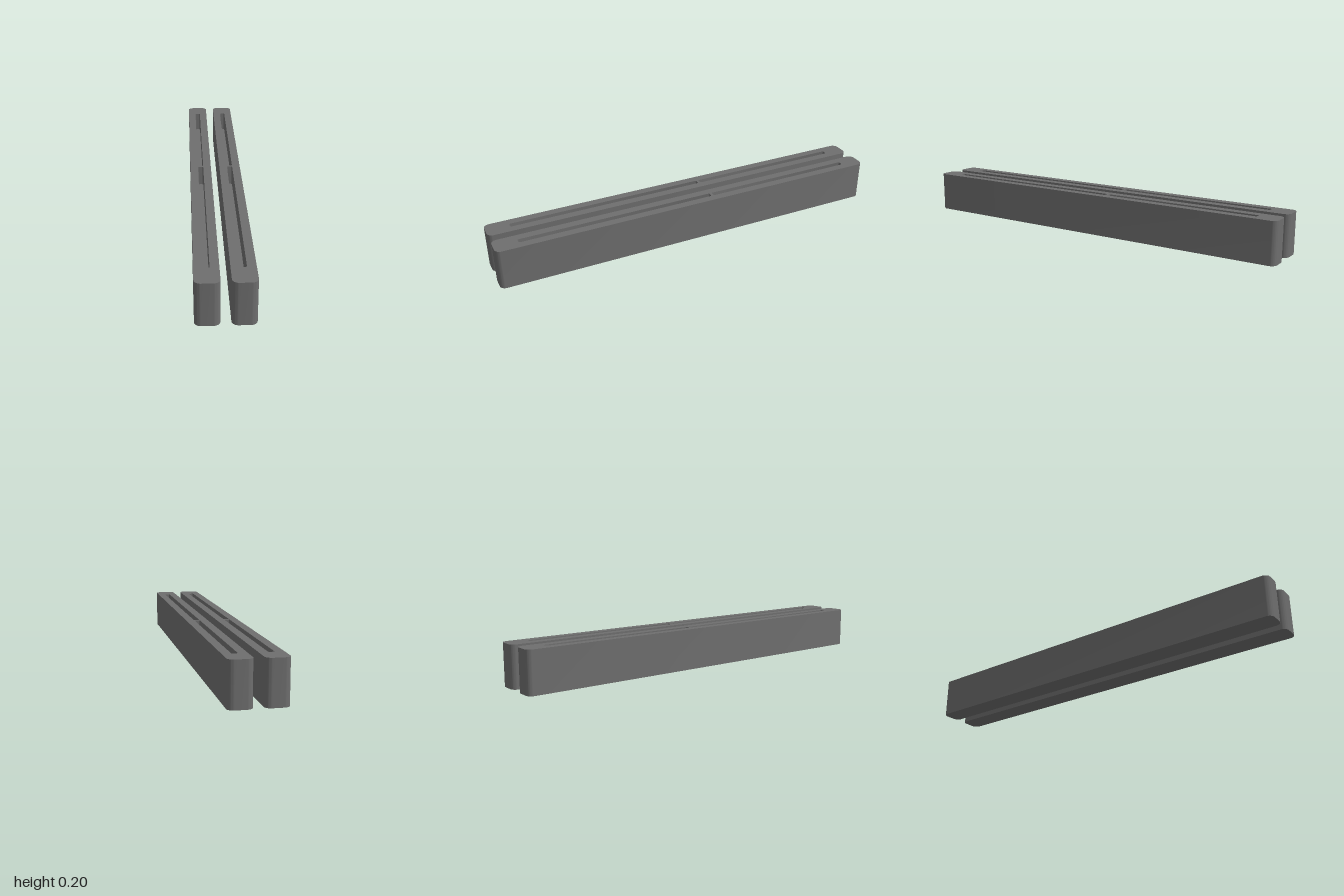
import * as THREE from 'three';
import { mergeGeometries, toCreasedNormals } from 'three/addons/utils/BufferGeometryUtils.js';

const HEIGHT = 0.2, FLOOR = 0.1;
const SLOTS = [[-0.893, -0.11], [-0.098, 0.885]]; // z ranges, back to front

// Counter-clockwise rounded rectangle, drawn flat with z pointing down the page
function roundedRect(width, z0, z1, r) {
  const s = new THREE.Shape();
  const x = width / 2 - r, top = -z0 - r, bottom = -z1 + r;
  s.absarc(x, top, r, 0, Math.PI / 2);
  s.absarc(-x, top, r, Math.PI / 2, Math.PI);
  s.absarc(-x, bottom, r, Math.PI, Math.PI * 1.5);
  s.absarc(x, bottom, r, Math.PI * 1.5, Math.PI * 2);
  return s;
}

// Upright wall along an outline, facing outward or inward
function wall(shape, low, high, inward = false) {
  const pts = shape.getPoints(6);
  if (inward) pts.reverse();
  const pos = [];
  pts.forEach((a, i) => {
    const b = pts[(i + 1) % pts.length];
    pos.push(a.x, a.y, low, b.x, b.y, low, b.x, b.y, high);
    pos.push(a.x, a.y, low, b.x, b.y, high, a.x, a.y, high);
  });
  const g = new THREE.BufferGeometry();
  g.setAttribute('position', new THREE.Float32BufferAttribute(pos, 3));
  return toCreasedNormals(g, Math.PI / 5);
}

// Flat face at a given height, turned over for the underside
function face(shape, height, down = false) {
  const g = new THREE.ShapeGeometry(shape, 6).toNonIndexed();
  g.deleteAttribute('uv');
  if (down) g.rotateY(Math.PI);
  return g.translate(0, 0, height);
}

function barGeometry() {
  const outline = roundedRect(0.106, -1, 1, 0.028);
  const slots = SLOTS.map(([z0, z1]) => roundedRect(0.027, z0, z1, 0.007));
  const parts = [face(outline, 0, true), wall(outline, 0, HEIGHT)];
  // Blind slots sunk into the top
  for (const slot of slots) {
    parts.push(wall(slot, FLOOR, HEIGHT, true), face(slot, FLOOR));
  }
  outline.holes.push(...slots);
  parts.push(face(outline, HEIGHT));
  return mergeGeometries(parts).rotateX(-Math.PI / 2);
}

export function createModel() {
  const model = new THREE.Group();
  model.name = 'slottedBars';
  const material = new THREE.MeshStandardMaterial({ color: 0x6e6e6e });
  const geometry = barGeometry();
  for (const [name, x] of [['leftBar', 0.075], ['rightBar', -0.075]]) {
    const bar = new THREE.Mesh(geometry, material);
    bar.name = name;
    bar.position.x = x;
    model.add(bar);
  }
  return model;
}
